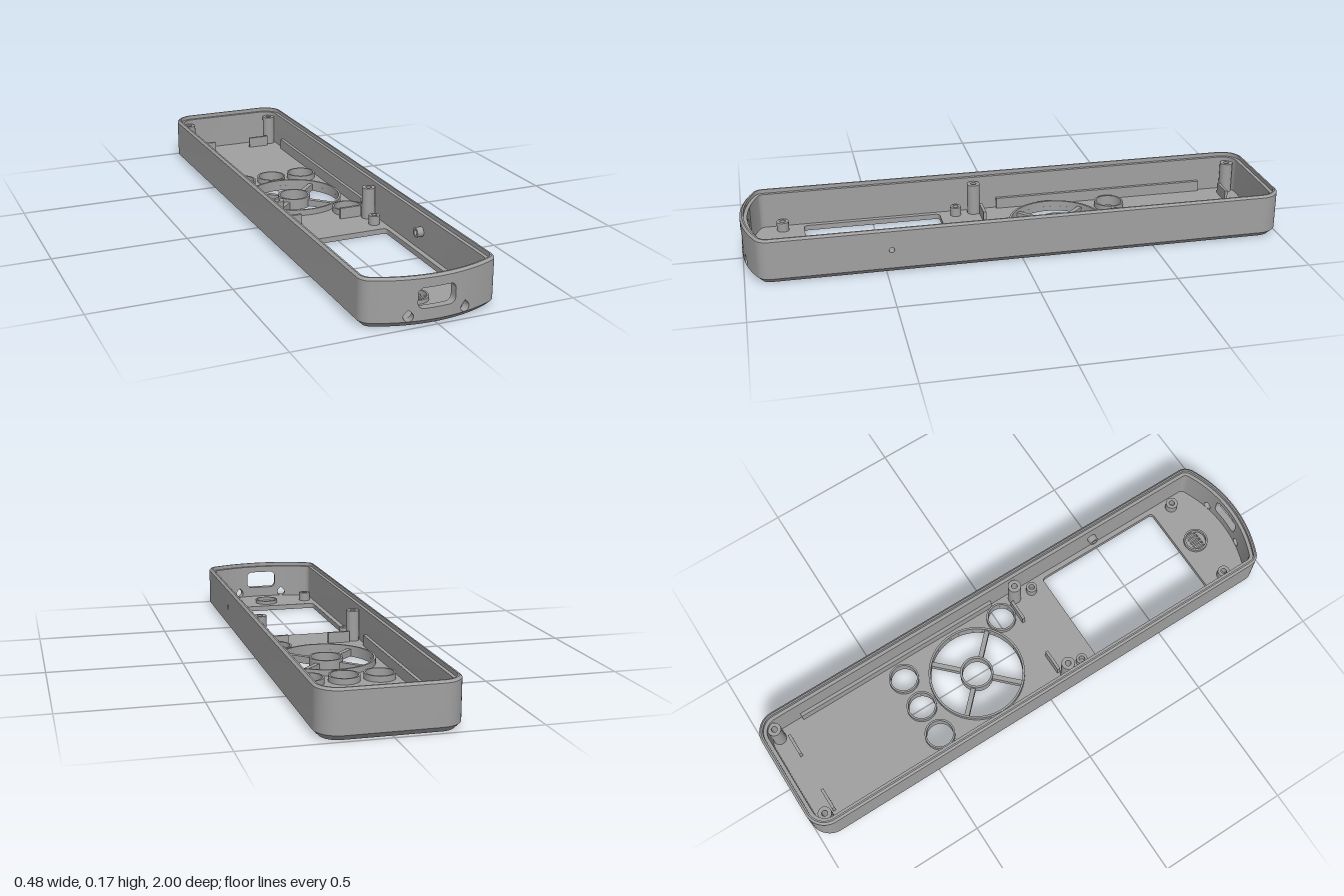
import * as THREE from 'three';
import { toCreasedNormals } from 'three/addons/utils/BufferGeometryUtils.js';

const HALF_W = 0.24, WALL = 0.027, FLOOR = 0.02;
const plastic = new THREE.MeshStandardMaterial({ color: 0xa0a0a0 });
plastic.name = 'grey plastic';

// Crease at full scale so that small features keep their edges
function creased(geo) {
  geo.scale(100, 100, 100);
  const out = toCreasedNormals(geo, 0.5);
  out.scale(0.01, 0.01, 0.01);
  return out;
}

function add(parent, name, geo, x = 0, y = 0, z = 0) {
  const mesh = new THREE.Mesh(geo, plastic);
  mesh.name = name;
  mesh.position.set(x, y, z);
  parent.add(mesh);
  return mesh;
}

// Hollow upright ring with a square section
function ringGeo(rOut, rIn, y0, y1, seg = 40) {
  const pts = [[rIn, y0], [rOut, y0], [rOut, y1], [rIn, y1], [rIn, y0]];
  return creased(new THREE.LatheGeometry(pts.map(p => new THREE.Vector2(...p)), seg));
}

// Openings in the wall: each gives [low, high] at distance d from its centre
const socket = { c: -0.004, half: 0.066, at: d => {
  const e = Math.max(0, Math.abs(d) - 0.046);
  const h = 0.015 + Math.sqrt(Math.max(0, 0.0004 - e * e));
  return [0.095 - h, 0.095 + h];
} };
const teardrop = c => ({ c, half: 0.0165, at: d => {
  const r = 0.0165, a = Math.abs(d), s = Math.sqrt(Math.max(0, r * r - d * d));
  return [0.037 - s, 0.037 + (a < r * Math.SQRT1_2 ? r * Math.SQRT2 - a : s)];
} });
const pinhole = { c: 0.48, half: 0.01, at: d => {
  const s = Math.sqrt(Math.max(0, 0.0001 - d * d));
  return [0.09 - s, 0.09 + s];
} };

// Samples across an opening, closed at both ends
function openingSamples(o) {
  const n = 24, list = [{ t: o.c - o.half, gap: null }];
  for (let i = 0; i <= n; i++) {
    const d = -o.half * Math.cos(Math.PI * i / n);
    list.push({ t: o.c + d, gap: o.at(d) });
  }
  list.push({ t: o.c + o.half, gap: null });
  return list;
}

// Outline, counterclockwise from above: bowed front, straight sides, rounded back
function outline() {
  const R = 0.5, rf = 0.05, rb = 0.08, pts = [];
  const cx = HALF_W - rf, cz = 1 - R + Math.sqrt((R - rf) ** 2 - cx ** 2);
  const edge = Math.atan2(cx, cz - (1 - R));
  const put = (x, z, nx, nz, gap) => {
    const [lo, hi] = gap || [0.09, 0.09];
    pts.push({ x, z, nx, nz, lo, hi });
  };
  const corner = (x, z, r, a0, a1) => {
    for (let i = 0; i <= 12; i++) {
      const a = a0 + (a1 - a0) * i / 12;
      put(x + r * Math.sin(a), z + r * Math.cos(a), Math.sin(a), Math.cos(a));
    }
  };
  // Front arc with its three openings
  const openings = [teardrop(-0.1), socket, teardrop(0.1)];
  const front = openings.flatMap(openingSamples);
  const xe = R * Math.sin(edge);
  const before = [], after = [];
  for (let i = 1; i < 6; i++) {
    before.push({ t: -xe + (xe - 0.1165) * i / 6, gap: null });
    after.push({ t: 0.1165 + (xe - 0.1165) * i / 6, gap: null });
  }
  for (const s of [...before, ...front, ...after]) {
    const nx = s.t / R, nz = Math.sqrt(1 - nx * nx);
    put(s.t, 1 - R + R * nz, nx, nz, s.gap);
  }
  // Side with the pinhole, back corners, other side
  corner(cx, cz, rf, edge, Math.PI / 2);
  for (const s of openingSamples(pinhole).reverse()) put(HALF_W, s.t, 1, 0, s.gap);
  corner(HALF_W - rb, -1 + rb, rb, Math.PI / 2, Math.PI);
  corner(-HALF_W + rb, -1 + rb, rb, Math.PI, Math.PI * 1.5);
  corner(-cx, cz, rf, Math.PI * 1.5, Math.PI * 2 - edge);
  return pts;
}

// Sweep the wall section round the outline, below and above each opening
function wallGeo(pts) {
  const pos = [];
  const low = p => [[0.02, 0], [0, 0.02], [0, p.lo], [WALL, p.lo], [WALL, FLOOR]];
  const high = p => [[WALL, p.hi], [0, p.hi], [0, 0.162], [0.008, 0.17], [0.014, 0.17],
    [0.014, 0.155], [WALL, 0.155], [WALL, p.hi]];
  const tri = (a, b, c) => {
    const n = b.clone().sub(a).cross(c.clone().sub(a));
    if (n.length() > 1e-10) for (const v of [a, b, c]) pos.push(v.x, v.y, v.z);
  };
  pts.forEach((p, i) => {
    const q = pts[(i + 1) % pts.length];
    const open = p.hi > p.lo || q.hi > q.lo;
    for (const [section, tunnel] of [[low, 2], [high, 0]]) {
      const ring = o => section(o).map(([d, y]) => new THREE.Vector3(o.x - o.nx * d, y, o.z - o.nz * d));
      const A = ring(p), B = ring(q);
      for (let k = 0; k < A.length - 1; k++) {
        if (k === tunnel && !open) continue;
        tri(A[k], B[k], B[k + 1]);
        tri(A[k], B[k + 1], A[k + 1]);
      }
    }
  });
  const geo = new THREE.BufferGeometry();
  geo.setAttribute('position', new THREE.Float32BufferAttribute(pos, 3));
  return creased(geo);
}

const NAV_Z = -0.185, GRILLE_Z = 0.84;
const BUTTONS = [[-0.13, -0.43], [0, -0.43], [0.13, -0.43], [0.14, 0.015]];

// Floor plate with button, dial, window and grille openings
function floorGeo(pts) {
  const shape = new THREE.Shape(pts.filter((p, i) => {
    const q = pts[(i + 1) % pts.length];
    return Math.hypot(p.x - q.x, p.z - q.z) > 1e-5;
  }).map(p => new THREE.Vector2(p.x - p.nx * 0.02, p.z - p.nz * 0.02)));
  const circle = (x, z, r) => shape.holes.push(new THREE.Path().absarc(x, z, r, 0, Math.PI * 2, true));
  const slot = (x, z, w, h, r) => {
    const path = new THREE.Path();
    for (const [sx, sz, a] of [[1, 1, 0], [-1, 1, 1], [-1, -1, 2], [1, -1, 3]]) {
      path.absarc(x + sx * (w - r), z + sz * (h - r), r, a * Math.PI / 2, (a + 1) * Math.PI / 2, false);
    }
    shape.holes.push(path);
  };
  BUTTONS.forEach(([x, z]) => circle(x, z, 0.05));
  circle(0, NAV_Z, 0.175);
  slot(0, 0.5025, 0.194, 0.2625, 0.015);
  for (let i = -2; i <= 2; i++) slot(i * 0.0165, GRILLE_Z, 0.005, 0.022, 0.002);
  const geo = new THREE.ExtrudeGeometry(shape, { depth: FLOOR, bevelEnabled: false, curveSegments: 24 });
  geo.rotateX(Math.PI / 2).translate(0, FLOOR, 0);
  return creased(geo);
}

export function createModel() {
  const model = new THREE.Group();
  model.name = 'remoteControlShell';
  const pts = outline();
  add(model, 'outerWall', wallGeo(pts));
  add(model, 'floorPlate', floorGeo(pts));

  // Collars round the button holes and grille
  BUTTONS.forEach(([x, z]) => add(model, 'buttonCollar', ringGeo(0.057, 0.05, 0.001, 0.042), x, 0, z));
  add(model, 'grilleCollar', ringGeo(0.047, 0.04, 0.01, 0.034), 0, 0, GRILLE_Z);

  // Direction dial: rim, hub and four diagonal spokes
  const dial = new THREE.Group();
  dial.name = 'directionDial';
  dial.position.z = NAV_Z;
  model.add(dial);
  add(dial, 'dialRim', ringGeo(0.183, 0.175, 0.001, 0.042, 72));
  add(dial, 'dialHub', ringGeo(0.063, 0.055, 0, 0.042));
  for (let i = 0; i < 4; i++) {
    const a = Math.PI / 4 + i * Math.PI / 2;
    const spoke = add(dial, 'dialSpoke', new THREE.BoxGeometry(0.12, 0.026, 0.018),
      0.119 * Math.cos(a), 0.017, -0.119 * Math.sin(a));
    spoke.rotation.y = a;
  }

  // Screw posts, board tabs and side rails, mirrored
  const posts = [[0.185, -0.94, 0.025, 0.14], [0.185, 0.105, 0.025, 0.14],
    [0.175, 0.178, 0.021, 0.055], [0.175, 0.845, 0.023, 0.055]];
  for (const s of [-1, 1]) {
    for (const [x, z, r, top] of posts) add(model, 'screwPost', ringGeo(r, 0.011, 0.015, top, 28), s * x, 0, z);
    for (const z of [-0.905, 0.08]) {
      add(model, 'boardTab', new THREE.BoxGeometry(0.085, 0.045, 0.011), s * 0.122, 0.0395, z);
    }
    add(model, 'sideRail', new THREE.BoxGeometry(0.017, 0.045, 0.84), s * 0.2085, 0.0395, -0.41);
  }

  // Sleeve behind the side pinhole
  const sleeve = add(model, 'pinholeSleeve', ringGeo(0.018, 0.01, 0, 0.026, 28), 0.215, 0.09, 0.48);
  sleeve.rotation.z = Math.PI / 2;
  return model;
}
